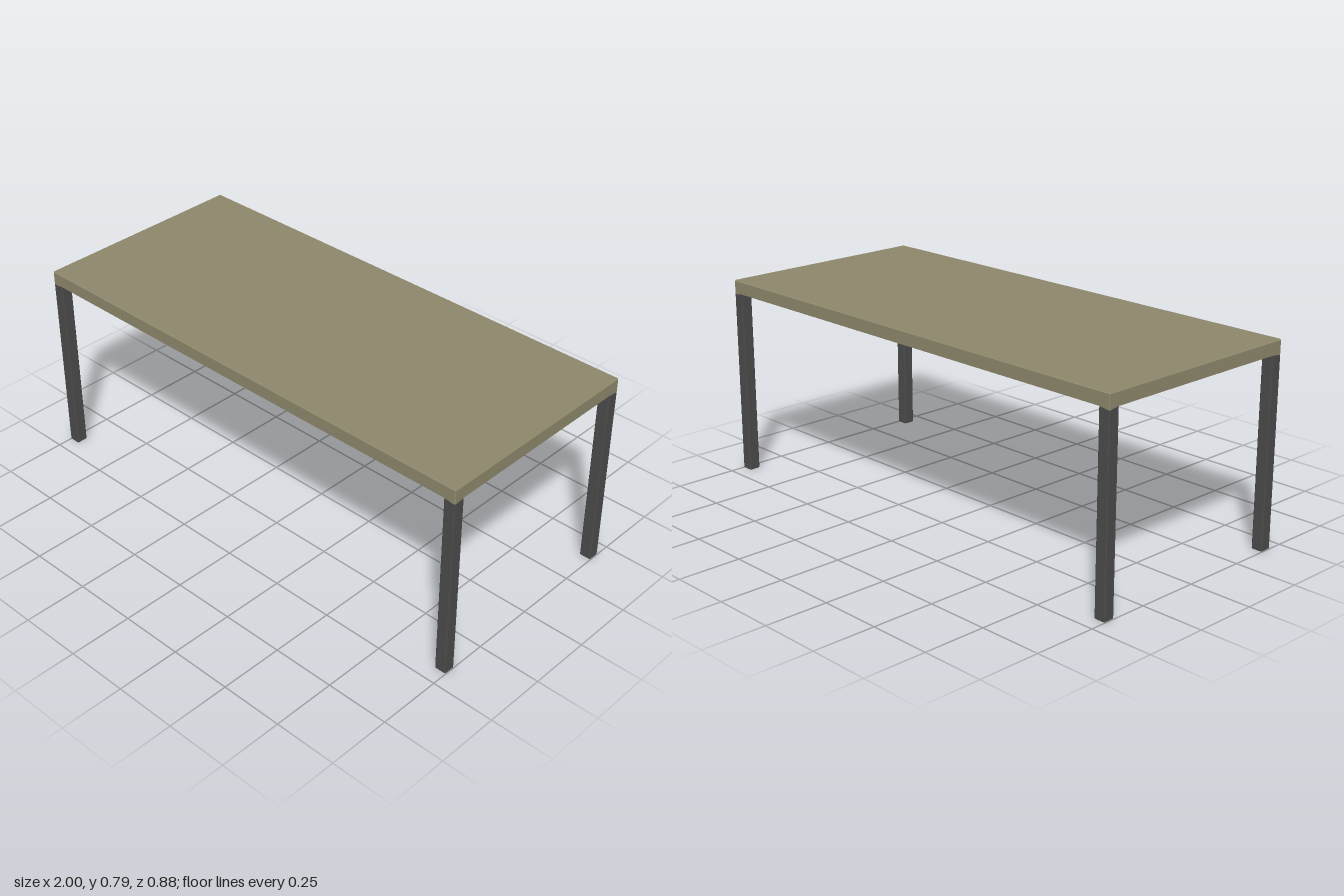
import * as THREE from 'three';

const HALF_X = 1, HALF_Z = 0.441, TOP = 0.79, UNDER = 0.738;
const LEG = 0.047, DROP = 0.006, BEVEL = 0.004;

// Upright block with chamfered edges, standing on y = 0
function block(w, h, d) {
  const x = w / 2, z = d / 2, c = BEVEL;
  const outline = new THREE.Shape([
    [-x + c, -z], [x - c, -z], [x, -z + c], [x, z - c],
    [x - c, z], [-x + c, z], [-x, z - c], [-x, -z + c],
  ].map(([a, b]) => new THREE.Vector2(a, b)));
  return new THREE.ExtrudeGeometry(outline, {
    depth: h - 2 * c, bevelEnabled: true, bevelSegments: 1,
    bevelSize: c, bevelThickness: c, bevelOffset: -c,
  }).rotateX(-Math.PI / 2).translate(0, c, 0);
}

// Change the height of every vertex by a rule
function reshape(geometry, rule) {
  const p = geometry.attributes.position;
  for (let i = 0; i < p.count; i++) p.setY(i, rule(p.getX(i), p.getY(i), p.getZ(i)));
  geometry.computeVertexNormals();
  return geometry;
}

// Joint between leg and top: dips slightly towards the outer corner
function seam(x, z) {
  const inward = (v, half) => THREE.MathUtils.clamp((Math.abs(v) - half + LEG) / LEG, 0, 1);
  return UNDER - DROP * Math.min(inward(x, HALF_X), inward(z, HALF_Z));
}

export function createModel() {
  const table = new THREE.Group();
  table.name = 'table';
  const wood = new THREE.MeshStandardMaterial({ color: 0x8c866a });
  const metal = new THREE.MeshStandardMaterial({ color: 0x4a4a4a });
  const add = (name, geometry, material) => {
    const mesh = new THREE.Mesh(geometry, material);
    mesh.name = name;
    table.add(mesh);
  };

  // Top: chamfered above, sharp below
  const slab = block(2 * HALF_X, TOP - UNDER + BEVEL, 2 * HALF_Z).translate(0, UNDER - BEVEL, 0);
  add('tableTop', reshape(slab, (x, y) => Math.max(y, UNDER)), wood);

  // Four legs, each with a thin wedge of the top above it
  for (const [sideX, left] of [[1, 'Left'], [-1, 'Right']]) {
    for (const [sideZ, front] of [[1, 'front'], [-1, 'back']]) {
      const x = sideX * (HALF_X - LEG / 2), z = sideZ * (HALF_Z - LEG / 2);
      const leg = block(LEG, UNDER, LEG).translate(x, 0, z);
      add(front + left + 'Leg', reshape(leg, (a, y, b) => (y > 0.5 ? seam(a, b) : y)), metal);
      const wedge = block(LEG, 0.02, LEG).translate(x, 0, z);
      add(front + left + 'Corner', reshape(wedge, (a, y, b) => (y > 0.01 ? UNDER : seam(a, b))), wood);
    }
  }
  return table;
}
